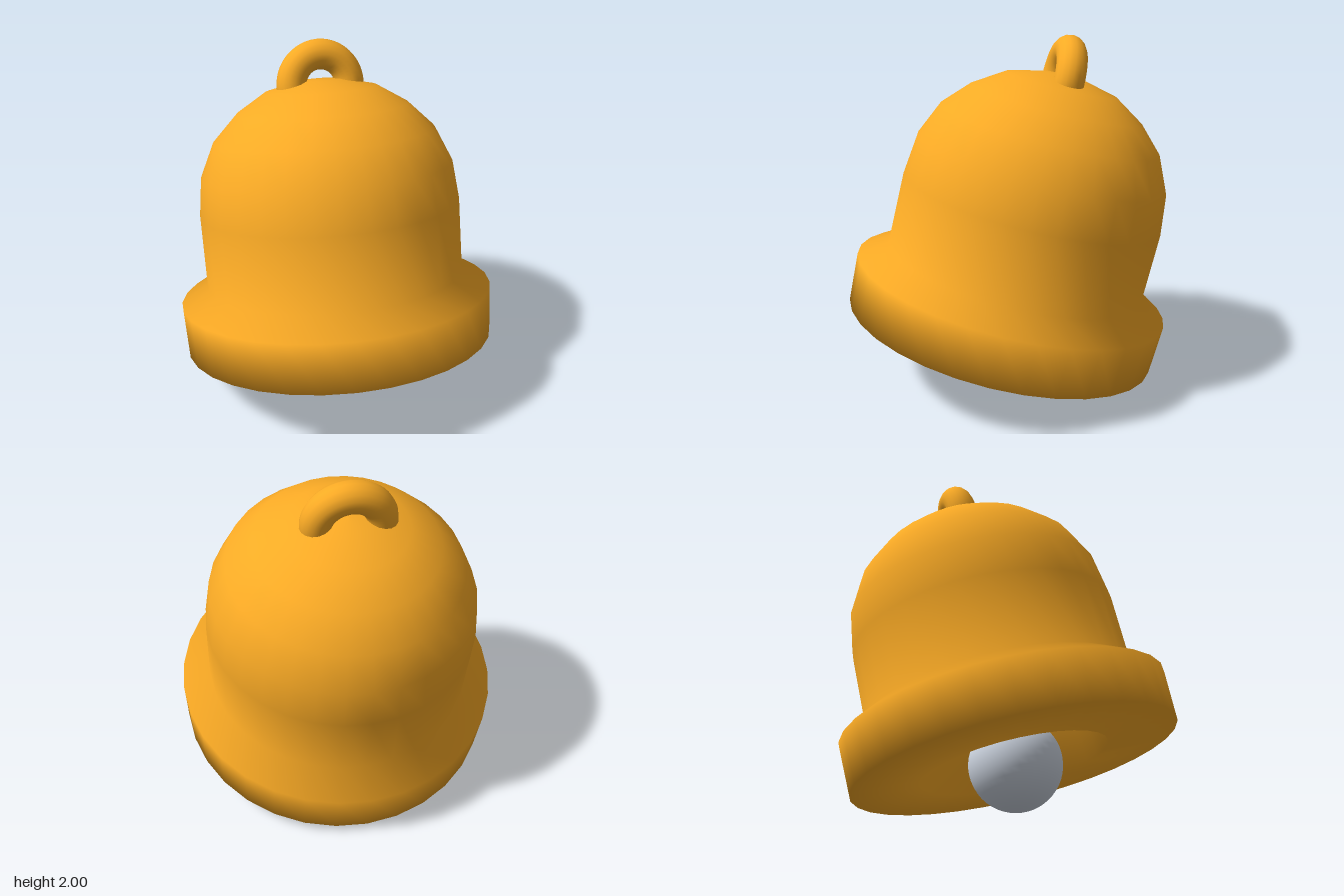
import * as THREE from 'three';

const SIDES = 32;
const TILT = THREE.MathUtils.degToRad(-13.5);

export function createModel() {
  const gold = new THREE.MeshStandardMaterial({ color: 0xfbab25, side: THREE.DoubleSide });
  const silver = new THREE.MeshStandardMaterial({ color: 0xd0d8e4 });
  const model = new THREE.Group();
  model.name = 'bell';

  // Everything is built along the bell's axis, from the centre of the mouth
  const tilted = new THREE.Group();
  tilted.name = 'tiltedBell';
  tilted.position.set(0, 0.263, 0.035);
  tilted.rotation.x = TILT;
  model.add(tilted);

  const add = (name, geometry, material) => {
    const mesh = new THREE.Mesh(geometry, material);
    mesh.name = name;
    tilted.add(mesh);
    return mesh;
  };

  // Thick shell in one smooth profile: cavity, flat mouth, flared rim, waist, dome
  const shoulder = 0.81;
  const dome = [
    [0.77, shoulder], [0.74, 1.04], [0.648, 1.24], [0.503, 1.388],
    [0.325, 1.5], [0.115, 1.55], [0, 1.555],
  ];
  const innerScale = 0.53 / 0.77;
  const cavity = dome
    .map(([r, y]) => [r * innerScale, shoulder + (y - shoulder) * innerScale])
    .reverse();
  const profile = [
    ...cavity,
    [0.53, 0], [0.922, 0], [0.932, 0.286], [0.77, 0.387],
    ...dome,
  ];
  add('shell', new THREE.LatheGeometry(
    profile.map(([r, y]) => new THREE.Vector2(r, y)), SIDES), gold);

  // Hanging loop, its ends sunk into the dome
  const overlap = 0.3;
  const loop = add('hangingLoop',
    new THREE.TorusGeometry(0.173, 0.087, 16, 28, Math.PI + 2 * overlap), gold);
  loop.rotation.z = -overlap;
  loop.position.y = 1.523;

  // Clapper ball
  add('clapper', new THREE.SphereGeometry(0.263, 32, 24), silver);

  return model;
}
